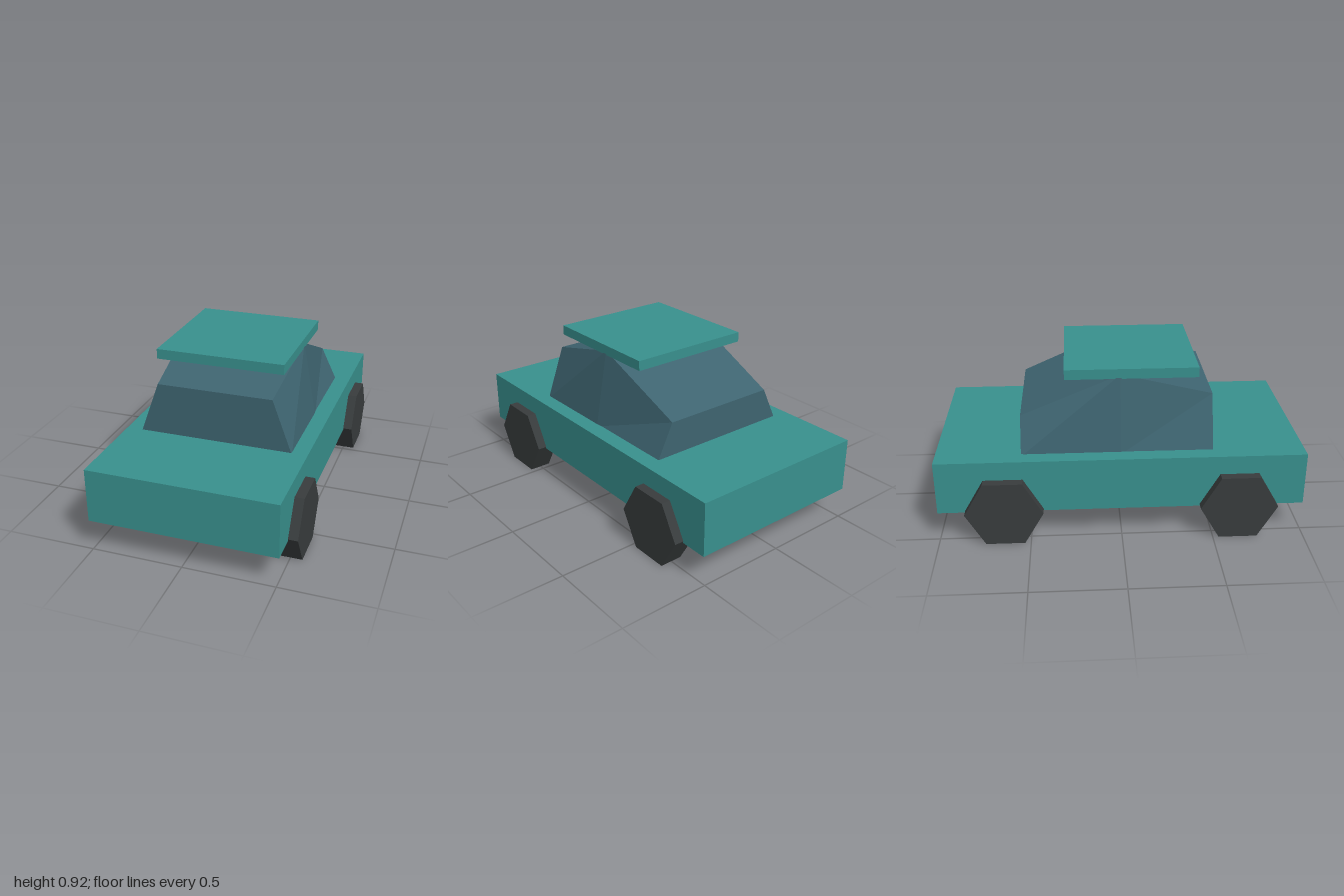
import * as THREE from 'three';

const paint = new THREE.MeshStandardMaterial({ color: 0x38908d, flatShading: true });
paint.name = 'tealPaint';
const glass = new THREE.MeshStandardMaterial({ color: 0x3e6470, flatShading: true });
glass.name = 'blueGreyGlass';
const rubber = new THREE.MeshStandardMaterial({ color: 0x383c3d, flatShading: true });
rubber.name = 'darkRubber';

function add(group, name, geometry, material, x, y, z) {
  const mesh = new THREE.Mesh(geometry, material);
  mesh.name = name;
  mesh.position.set(x, y, z);
  group.add(mesh);
}

// Loft of trapezoid sections, listed from front to back, closed at both ends
function loft(sections) {
  const rings = sections.map(({ z, base, top, y0, y1 }) => [
    [-base, y0, z], [base, y0, z], [top, y1, z], [-top, y1, z],
  ]);
  const positions = [];
  const quad = (a, b, c, d) => positions.push(...a, ...b, ...c, ...a, ...c, ...d);
  for (let i = 0; i < rings.length - 1; i++) {
    const f = rings[i], b = rings[i + 1];
    for (let j = 0; j < 4; j++) {
      const k = (j + 1) % 4;
      quad(f[j], b[j], b[k], f[k]);
    }
  }
  quad(...rings[0]);
  quad(...[...rings[rings.length - 1]].reverse());
  const geometry = new THREE.BufferGeometry();
  geometry.setAttribute('position', new THREE.Float32BufferAttribute(positions, 3));
  geometry.computeVertexNormals();
  return geometry;
}

export function createModel() {
  const car = new THREE.Group();
  car.name = 'car';

  // Slab body
  add(car, 'body', new THREE.BoxGeometry(1.024, 0.3, 2), paint, 0, 0.323, 0);

  // Cabin, rising to a ridge that carries the roof
  const cabin = loft([
    { z: 0.5, base: 0.428, top: 0.318, y0: 0.46, y1: 0.76 },
    { z: 0, base: 0.426, top: 0.35, y0: 0.46, y1: 0.893 },
    { z: -0.54, base: 0.426, top: 0.33, y0: 0.46, y1: 0.66 },
  ]);
  add(car, 'cabin', cabin, glass, 0, 0, 0);

  // Flat overhanging roof panel
  add(car, 'roof', new THREE.BoxGeometry(0.706, 0.055, 0.716), paint, 0, 0.8975, 0.06);

  // Six-sided wheels
  const wheel = new THREE.CylinderGeometry(0.212, 0.212, 0.124, 6).rotateZ(Math.PI / 2);
  for (const [side, x] of [['Left', 0.502], ['Right', -0.502]]) {
    for (const [end, z] of [['front', 0.638], ['rear', -0.638]]) {
      add(car, `${end}${side}Wheel`, wheel, rubber, x, 0.1836, z);
    }
  }
  return car;
}
